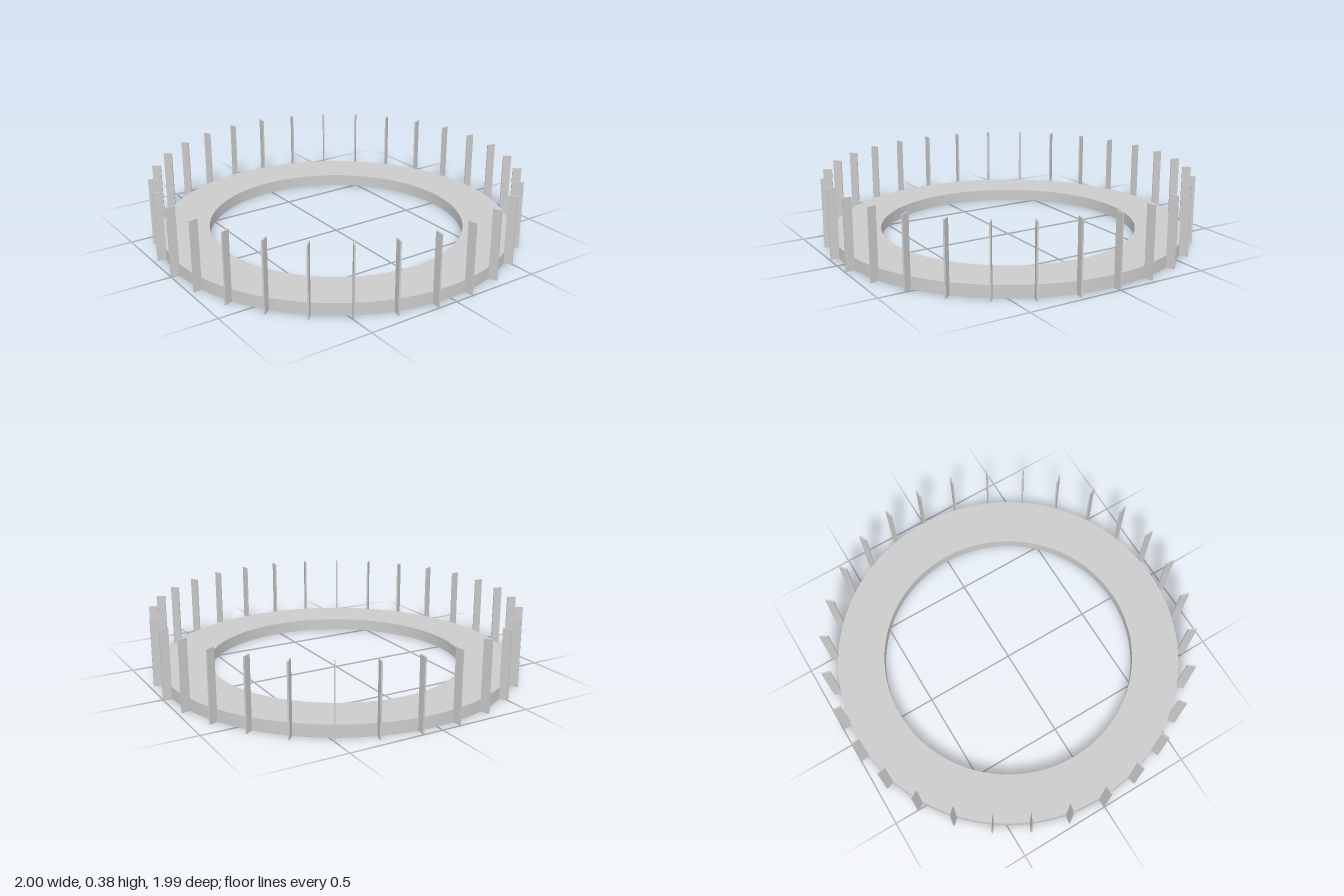
import * as THREE from 'three';

const INNER = 0.695, OUTER = 0.955, RING_H = 0.065;
const SLATS = 30, SLAT_H = 0.375, SLAT_T = 0.008;

export function createModel() {
  const model = new THREE.Group();
  model.name = 'slattedRing';
  const material = new THREE.MeshStandardMaterial({ color: 0xcccccc });

  // Flat base ring with smooth walls
  const shape = new THREE.Shape().absarc(0, 0, OUTER, 0, Math.PI * 2, false);
  shape.holes.push(new THREE.Path().absarc(0, 0, INNER, 0, Math.PI * 2, true));
  const ringGeometry = new THREE.ExtrudeGeometry(shape, {
    depth: RING_H, bevelEnabled: false, curveSegments: 120,
  });
  ringGeometry.rotateX(-Math.PI / 2);
  // Round the wall normals; the flat faces keep theirs
  const pos = ringGeometry.attributes.position, nor = ringGeometry.attributes.normal;
  for (let i = 0; i < pos.count; i++) {
    if (Math.abs(nor.getY(i)) > 0.5) continue;
    const x = pos.getX(i), z = pos.getZ(i), r = Math.hypot(x, z);
    const s = r > (INNER + OUTER) / 2 ? 1 : -1;
    nor.setXYZ(i, s * x / r, 0, s * z / r);
  }
  const ring = new THREE.Mesh(ringGeometry, material);
  ring.name = 'baseRing';
  model.add(ring);

  // Thin upright slats standing radially around the rim
  const slats = new THREE.Group();
  slats.name = 'slats';
  const start = OUTER - 0.002;
  const slatGeometry = new THREE.BoxGeometry(1 - start, SLAT_H, SLAT_T);
  slatGeometry.translate((1 + start) / 2, SLAT_H / 2, 0);
  for (let i = 0; i < SLATS; i++) {
    const slat = new THREE.Mesh(slatGeometry, material);
    slat.name = `slat${i + 1}`;
    slat.rotation.y = (i / SLATS) * Math.PI * 2;
    slats.add(slat);
  }
  model.add(slats);
  return model;
}
